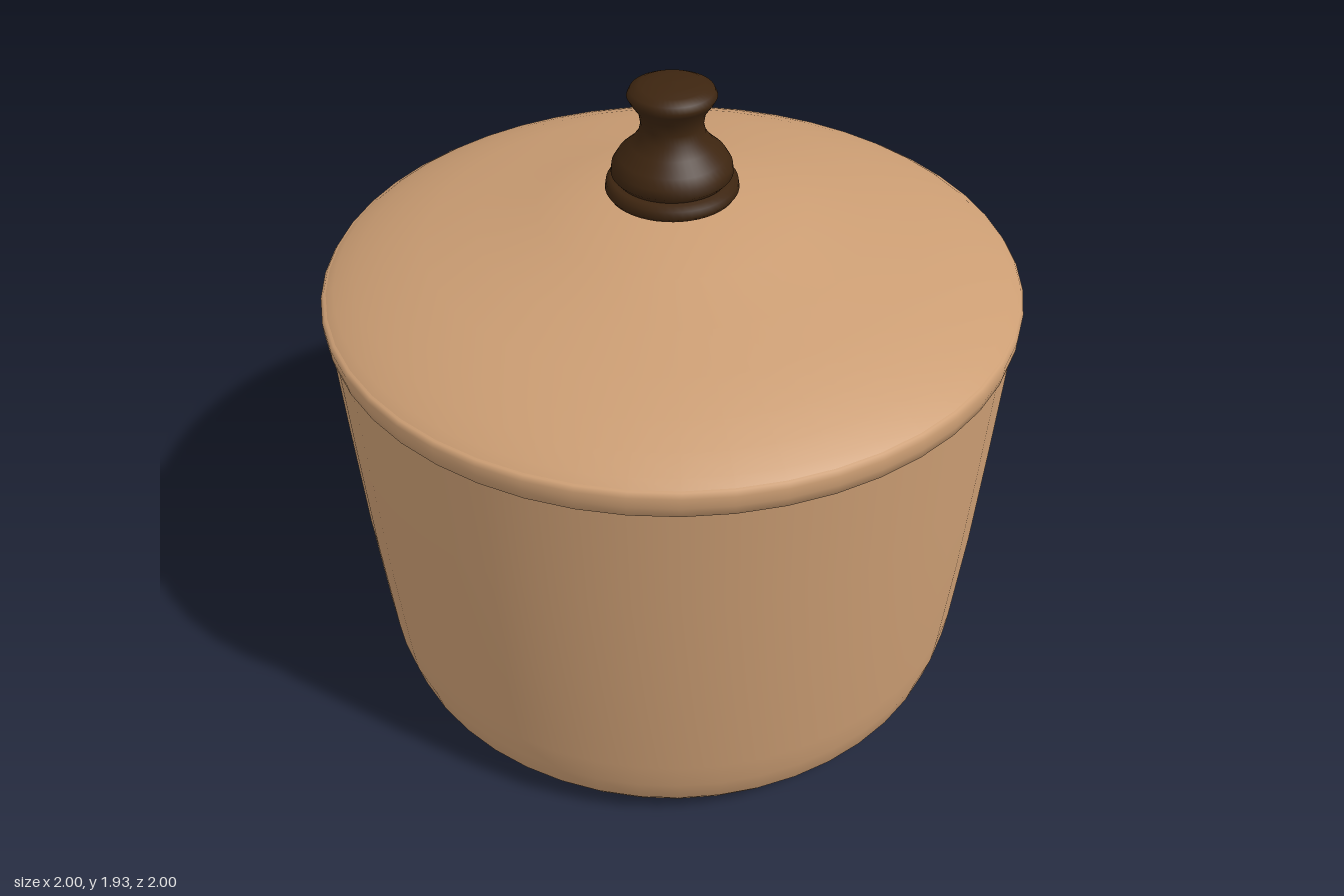
import * as THREE from 'three';

const SIDES = 48;

export function createModel() {
  const model = new THREE.Group();
  model.name = 'lidded pot';

  const clay = new THREE.MeshStandardMaterial({ color: 0xcb9d73 });
  clay.name = 'tan clay';
  const wood = new THREE.MeshStandardMaterial({ color: 0x3d2510 });
  wood.name = 'dark wood';

  // Turned part from a bottom-to-top profile of [radius, height]
  function turned(name, profile, material) {
    const points = profile.map(([r, y]) => new THREE.Vector2(r, y));
    const mesh = new THREE.Mesh(new THREE.LatheGeometry(points, SIDES), material);
    mesh.name = name;
    model.add(mesh);
  }

  // Tapered body with a rounded foot
  turned('body', [
    [0, 0], [0.78, 0.018], [0.865, 0.04], [0.9, 0.09], [0.92, 0.17], [0.93, 0.26],
    [0.955, 0.6], [0.972, 0.95], [0.986, 1.28],
  ], clay);

  // Rolled rim under the lid
  turned('rim', [
    [0.975, 1.275], [0.992, 1.28], [0.998, 1.31], [0.999, 1.34], [0.99, 1.353], [0.965, 1.357],
  ], clay);

  // Domed lid
  turned('lid', [
    [0.985, 1.353], [0.96, 1.372], [0.9, 1.4], [0.82, 1.433], [0.7, 1.472],
    [0.55, 1.508], [0.38, 1.553], [0.19, 1.604], [0, 1.606],
  ], clay);

  // Knob collar and turned grip
  turned('knobCollar', [
    [0, 1.6], [0.178, 1.603], [0.187, 1.617], [0.184, 1.637], [0.17, 1.648], [0.14, 1.65],
  ], wood);
  turned('knobGrip', [
    [0.155, 1.648], [0.17, 1.665], [0.167, 1.69], [0.15, 1.718], [0.115, 1.75], [0.093, 1.78],
    [0.086, 1.81], [0.092, 1.845], [0.115, 1.878], [0.123, 1.893], [0.115, 1.91],
    [0.09, 1.922], [0.05, 1.929], [0, 1.931],
  ], wood);

  return model;
}
